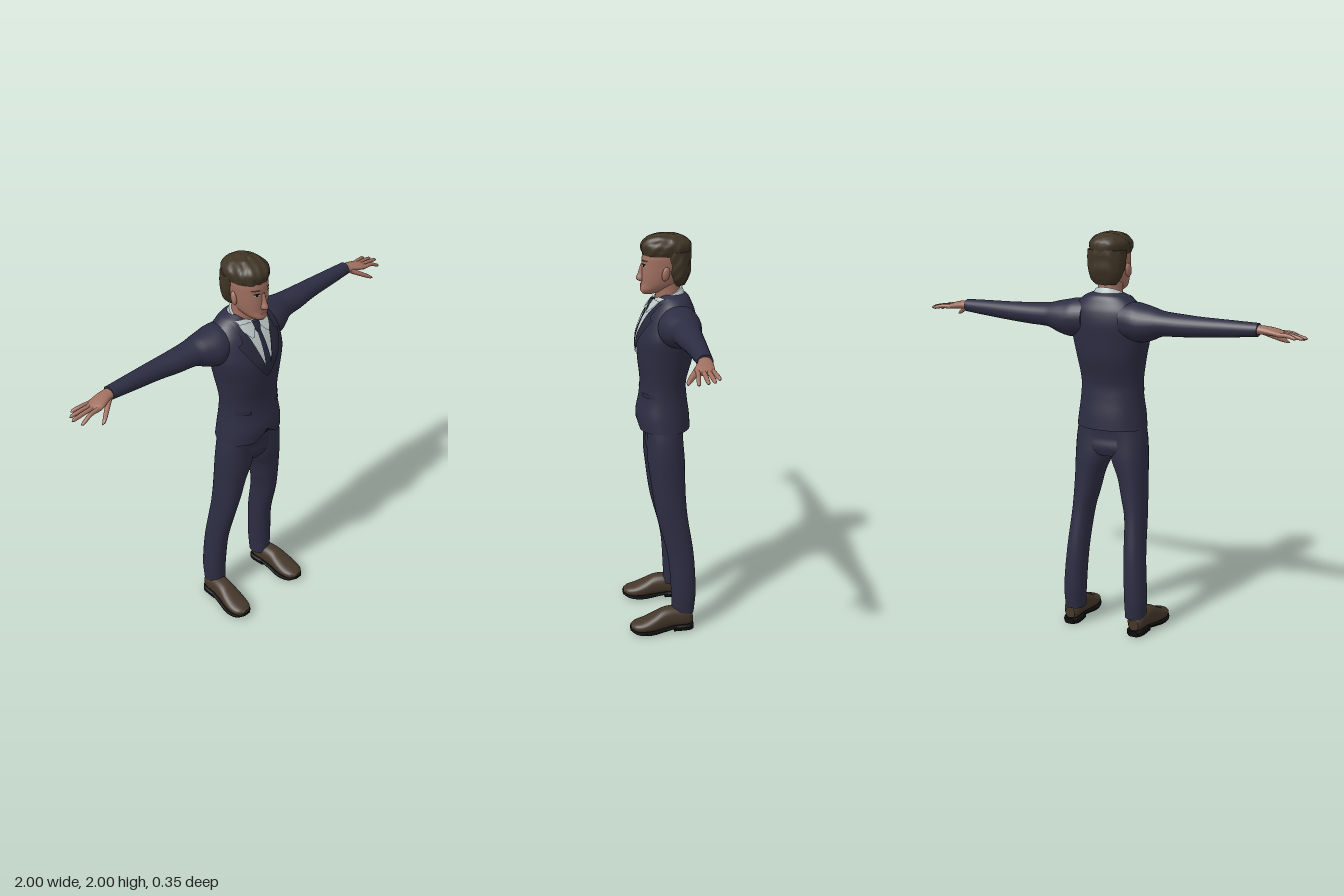
import * as THREE from 'three';

const mat = (name, color, side = THREE.FrontSide) =>
  Object.assign(new THREE.MeshStandardMaterial({ color, side }), { name });

// Smoothly interpolate rows [t, ...values] sorted by t
function at(rows, t) {
  let i = 0;
  while (i < rows.length - 2 && t > rows[i + 1][0]) i++;
  const a = rows[i], b = rows[i + 1], h = b[0] - a[0];
  const p = rows[Math.max(i - 1, 0)], n = rows[Math.min(i + 2, rows.length - 1)];
  const s = Math.min(Math.max((t - a[0]) / h, 0), 1), s2 = s * s, s3 = s2 * s;
  return a.map((v, k) => {
    const m0 = (b[k] - p[k]) / (b[0] - p[0]) * h, m1 = (n[k] - v) / (n[0] - a[0]) * h;
    return (2 * s3 - 3 * s2 + 1) * v + (s3 - 2 * s2 + s) * m0 + (3 * s2 - 2 * s3) * b[k] + (s3 - s2) * m1;
  });
}

// Axis y: (u, v) = (x, z); axis x: (z, y); axis z: (y, x)
const place = {
  y: (t, u, v) => new THREE.Vector3(u, t, v),
  x: (t, u, v) => new THREE.Vector3(t, v, u),
  z: (t, u, v) => new THREE.Vector3(v, u, t),
};
const spow = (c, p) => Math.sign(c) * Math.abs(c) ** (2 / p);

// Capped skin over rounded sections [t, centreU, centreV, radiusU, radiusV]
function loft(axis, rows, { n = 28, sub = 5, p = 2, warp } = {}) {
  const pos = [], idx = [], rings = [];
  for (let i = 0; i < rows.length - 1; i++)
    for (let k = 0; k < sub; k++) rings.push(at(rows, rows[i][0] + (rows[i + 1][0] - rows[i][0]) * k / sub));
  rings.push(rows[rows.length - 1]);
  const put = (t, u, v) => {
    const q = place[axis](t, u, v);
    if (warp) warp(q);
    pos.push(q.x, q.y, q.z);
  };
  const ring = ([t, cu, cv, ru, rv]) => {
    for (let j = 0; j < n; j++) {
      const a = j / n * Math.PI * 2;
      put(t, cu + Math.max(ru, 0) * spow(Math.cos(a), p), cv + Math.max(rv, 0) * spow(Math.sin(a), p));
    }
  };
  rings.forEach(ring);
  for (let i = 0; i < rings.length - 1; i++)
    for (let j = 0; j < n; j++) {
      const a = i * n + j, b = i * n + (j + 1) % n;
      idx.push(a, a + n, b, b, a + n, b + n);
    }
  for (const end of [0, 1]) {
    const r = rings[end ? rings.length - 1 : 0], s = pos.length / 3;
    ring(r);
    put(r[0], r[1], r[2]);
    for (let j = 0; j < n; j++) {
      const a = s + j, b = s + (j + 1) % n;
      end ? idx.push(s + n, b, a) : idx.push(s + n, a, b);
    }
  }
  return build(pos, idx);
}

function build(pos, idx) {
  const g = new THREE.BufferGeometry();
  g.setAttribute('position', new THREE.Float32BufferAttribute(pos, 3));
  g.setIndex(idx);
  g.computeVertexNormals();
  return g;
}

// Thin panel lying on the front of a lofted body; edges are [y, xFrom, xTo]
function panel(body, p, edges, off, nr = 24, nc = 8) {
  const pos = [], idx = [], y0 = edges[0][0], y1 = edges[edges.length - 1][0];
  for (let i = 0; i <= nr; i++) {
    const y = y1 + (y0 - y1) * i / nr, [, xl, xr] = at(edges, y), [, , cz, rx, rz] = at(body, y);
    for (let j = 0; j <= nc; j++) {
      const x = xl + (xr - xl) * j / nc, f = Math.min(Math.abs(x) / rx, 1);
      pos.push(x, y, cz + rz * (1 - f ** p) ** (1 / p) + off);
      if (i && j) {
        const d = i * (nc + 1) + j, b = d - nc - 1;
        idx.push(b - 1, d - 1, d, b - 1, d, b);
      }
    }
  }
  return build(pos, idx);
}

const TORSO = [
  [1.05, 0, -0.015, 0.178, 0.13], [1.12, 0, -0.01, 0.17, 0.13], [1.2, 0, -0.012, 0.16, 0.117],
  [1.28, 0, -0.013, 0.158, 0.112], [1.4, 0, -0.022, 0.175, 0.133], [1.5, 0, -0.027, 0.195, 0.139],
  [1.57, 0, -0.041, 0.195, 0.131], [1.63, 0, -0.053, 0.185, 0.112], [1.67, 0, -0.06, 0.15, 0.09],
  [1.7, 0, -0.063, 0.11, 0.072], [1.715, 0, -0.06, 0.075, 0.055]];
const HEAD = [
  [1.712, 0, 0.055, 0.02, 0.028], [1.73, 0, 0.035, 0.046, 0.06], [1.76, 0, 0.005, 0.066, 0.084],
  [1.8, 0, -0.01, 0.077, 0.099], [1.85, 0, -0.02, 0.083, 0.107], [1.9, 0, -0.025, 0.085, 0.108],
  [1.95, 0, -0.03, 0.07, 0.09], [1.985, 0, -0.03, 0.03, 0.04]];

export function createModel() {
  const suit = mat('navy suit', 0x2d2d43), dark = mat('lapel navy', 0x28283b, THREE.DoubleSide);
  const shirt = mat('white shirt', 0xbcc6c6, THREE.DoubleSide), tie = mat('tie navy', 0x24283c, THREE.DoubleSide);
  const skin = mat('skin', 0xa07060), lip = mat('lips', 0x84564a), hair = mat('brown hair', 0x3f3425);
  const shoe = mat('brown leather', 0x45372a), black = mat('black', 0x0c0c0c);
  const model = new THREE.Group();
  const add = (name, geo, material, parent = model) => {
    const m = new THREE.Mesh(geo, material);
    m.name = name;
    parent.add(m);
    return m;
  };

  // Jacket body with the hem cut away at the front
  add('jacket', loft('y', TORSO, { n: 64, p: 2.2, warp: (q) => {
    if (q.z > 0.03) q.y = Math.max(q.y, 1.05 + 0.06 * (1 - Math.abs(q.x) / 0.075));
  } }), suit);
  add('hips', loft('y', [[0.91, 0, -0.018, 0.11, 0.08], [0.95, 0, -0.018, 0.176, 0.092],
    [1.0, 0, -0.014, 0.18, 0.088], [1.12, 0, -0.01, 0.16, 0.1]], { n: 40, p: 2.2 }), suit);
  add('belt', loft('y', [[1.065, 0, -0.01, 0.163, 0.103], [1.095, 0, -0.01, 0.163, 0.106]], { n: 40, p: 2.2 }), black);

  // Shirt front, collar and tie
  add('shirtFront', panel(TORSO, 2.2, [[1.43, -0.002, 0.002], [1.6, -0.056, 0.056], [1.7, -0.09, 0.09]], 0.004), shirt);
  add('shirtCollar', loft('y', [[1.655, 0, -0.04, 0.1, 0.083], [1.69, 0, -0.038, 0.084, 0.075], [1.712, 0, -0.037, 0.073, 0.068]],
    { n: 40, warp: (q) => { q.y -= 0.45 * (q.z + 0.037); } }), shirt);
  add('tieBlade', panel(TORSO, 2.2, [[1.435, -0.002, 0.002], [1.46, -0.017, 0.017], [1.55, -0.016, 0.016], [1.66, -0.01, 0.01]], 0.01), tie);
  add('tieKnot', loft('y', [[1.642, 0, 0.05, 0.011, 0.012], [1.665, 0, 0.044, 0.018, 0.014], [1.688, 0, 0.035, 0.019, 0.011]], { n: 16, p: 3 }), tie);

  // Neck, head, nose and mouth
  add('neck', loft('y', [[1.64, 0, -0.045, 0.066, 0.062], [1.72, 0, -0.037, 0.06, 0.06], [1.79, 0, -0.03, 0.06, 0.065]]), skin);
  add('head', loft('y', HEAD, { n: 40, p: 2.2 }), skin);
  add('nose', loft('y', [[1.772, 0, 0.087, 0.01, 0.012], [1.783, 0, 0.09, 0.018, 0.025],
    [1.81, 0, 0.088, 0.012, 0.018], [1.855, 0, 0.084, 0.008, 0.008]], { n: 16 }), skin);
  add('mouth', panel(HEAD, 2.2, [[1.745, -0.014, 0.014], [1.752, -0.027, 0.027], [1.759, -0.012, 0.012]], 0.003, 6), lip);

  // Hair: swept crown plus the shorter back and sides
  const strands = (q) => {
    const w = 0.0025 * Math.sin(q.x * 150 + q.z * 50) + 0.002 * Math.sin(q.z * 110 + q.y * 90);
    q.x *= 1 + w * 9;
    q.z += w;
    q.y += Math.min(w, 0);
  };
  add('hairCrown', loft('y', [[1.9, 0, -0.028, 0.089, 0.111], [1.92, 0, -0.029, 0.094, 0.118], [1.95, 0, -0.03, 0.094, 0.118],
    [1.975, 0, -0.03, 0.077, 0.097], [1.993, 0, -0.03, 0.046, 0.058], [2, 0, -0.03, 0.012, 0.016]],
    { n: 56, p: 2.2, warp: strands }), hair);
  add('hairBack', loft('y', [[1.755, 0, -0.088, 0.052, 0.03], [1.79, 0, -0.085, 0.078, 0.05], [1.85, 0, -0.078, 0.092, 0.067],
    [1.92, 0, -0.068, 0.094, 0.078]], { n: 48, p: 2.3, warp: strands }), hair);

  // Paired parts, made on the left and mirrored
  for (const s of [1, -1]) {
    const half = new THREE.Group();
    half.name = s > 0 ? 'leftSide' : 'rightSide';
    half.scale.x = s;
    model.add(half);
    const put = (name, geo, material) => add(name, geo, material, half);

    put('lapel', panel(TORSO, 2.2, [[1.425, -0.002, 0.012], [1.5, 0.022, 0.068], [1.59, 0.05, 0.122], [1.61, 0.056, 0.128],
      [1.618, 0.058, 0.106], [1.7, 0.086, 0.107]], 0.009, 40), dark);
    put('collarWing', panel(TORSO, 2.2, [[1.63, 0.045, 0.055], [1.66, 0.02, 0.08], [1.69, 0.008, 0.088]], 0.017), shirt);
    put('pocketFlap', panel(TORSO, 2.2, [[1.222, 0.082, 0.146], [1.242, 0.082, 0.146]], 0.007, 3), dark);

    put('sleeve', loft('x', [[0.1, -0.075, 1.59, 0.09, 0.088], [0.16, -0.072, 1.585, 0.102, 0.093], [0.2, -0.072, 1.58, 0.101, 0.09],
      [0.25, -0.079, 1.583, 0.086, 0.077], [0.3, -0.086, 1.588, 0.07, 0.06], [0.4, -0.09, 1.588, 0.061, 0.053],
      [0.5, -0.096, 1.59, 0.05, 0.047], [0.65, -0.096, 1.595, 0.041, 0.039], [0.775, -0.095, 1.6, 0.035, 0.031]]), suit);

    // Hand: palm, four fingers and thumb
    put('palm', loft('x', [[0.75, -0.095, 1.6, 0.027, 0.022], [0.8, -0.09, 1.6, 0.034, 0.02], [0.85, -0.08, 1.593, 0.043, 0.018],
      [0.885, -0.078, 1.586, 0.041, 0.013], [0.9, -0.078, 1.584, 0.032, 0.007]]), skin);
    for (const [z0, x1, z1, y1] of [[-0.11, 0.965, -0.126, 1.578], [-0.09, 0.99, -0.102, 1.575], [-0.069, 1, -0.074, 1.574], [-0.047, 0.98, -0.038, 1.563]])
      put('finger', loft('x', [[0.865, z0, 1.588, 0.011, 0.011], [0.92, z0 * 0.55 + z1 * 0.45, 1.587, 0.01, 0.01],
        [x1 - 0.012, z1, y1 + 0.002, 0.008, 0.008], [x1, z1, y1, 0.001, 0.001]], { n: 12, sub: 3 }), skin);
    put('thumb', loft('x', [[0.79, -0.075, 1.592, 0.018, 0.016], [0.83, -0.045, 1.57, 0.016, 0.014],
      [0.875, -0.012, 1.546, 0.011, 0.01], [0.893, -0.004, 1.536, 0.002, 0.002]], { n: 12 }), skin);

    put('trouserLeg', loft('y', [[0.09, 0.17, -0.095, 0.051, 0.056], [0.2, 0.17, -0.098, 0.055, 0.062], [0.4, 0.159, -0.085, 0.053, 0.066],
      [0.6, 0.146, -0.045, 0.052, 0.076], [0.7, 0.132, -0.032, 0.062, 0.081], [0.8, 0.118, -0.024, 0.073, 0.086],
      [0.9, 0.097, -0.018, 0.093, 0.092], [1.0, 0.092, -0.014, 0.092, 0.088], [1.08, 0.085, -0.012, 0.085, 0.088]], { p: 2.2 }), suit);

    // Shoe: sections are [z, y, x, half height, half width]
    put('shoeUpper', loft('z', [[-0.143, 0.06, 0.18, 0.028, 0.026], [-0.12, 0.07, 0.18, 0.046, 0.042], [-0.05, 0.074, 0.184, 0.052, 0.047],
      [0.01, 0.066, 0.19, 0.053, 0.05], [0.06, 0.05, 0.194, 0.042, 0.057], [0.11, 0.038, 0.197, 0.03, 0.057],
      [0.15, 0.035, 0.198, 0.022, 0.045], [0.173, 0.036, 0.198, 0.01, 0.02]], { p: 2.4 }), shoe);
    put('shoeHeel', loft('z', [[-0.148, 0.015, 0.18, 0.015, 0.026], [-0.125, 0.016, 0.18, 0.016, 0.044], [-0.045, 0.016, 0.184, 0.016, 0.046]], { p: 5 }), black);
    put('shoeSole', loft('z', [[-0.06, 0.026, 0.184, 0.007, 0.046], [0, 0.015, 0.19, 0.007, 0.05], [0.06, 0.008, 0.194, 0.008, 0.06],
      [0.11, 0.009, 0.197, 0.008, 0.061], [0.15, 0.015, 0.198, 0.008, 0.049], [0.177, 0.025, 0.198, 0.006, 0.022]], { p: 5 }), black);

    // Ear, eye and brow
    const ear = put('ear', new THREE.SphereGeometry(1, 16, 12), skin);
    ear.scale.set(0.012, 0.034, 0.02);
    ear.position.set(0.086, 1.82, -0.018);
    ear.rotation.set(-0.2, 0.3, 0);
    put('eyeWhite', panel(HEAD, 2.2, [[1.847, 0.03, 0.04], [1.852, 0.022, 0.05], [1.857, 0.026, 0.048]], 0.002, 6), shirt);
    put('iris', panel(HEAD, 2.2, [[1.846, 0.033, 0.04], [1.852, 0.03, 0.043], [1.858, 0.032, 0.041]], 0.003, 6), black);
    put('lashes', panel(HEAD, 2.2, [[1.856, 0.02, 0.053], [1.862, 0.026, 0.048]], 0.004, 4), black);
    put('brow', panel(HEAD, 2.2, [[1.872, 0.018, 0.056], [1.88, 0.024, 0.06]], 0.004, 4), hair);
  }
  return model;
}
